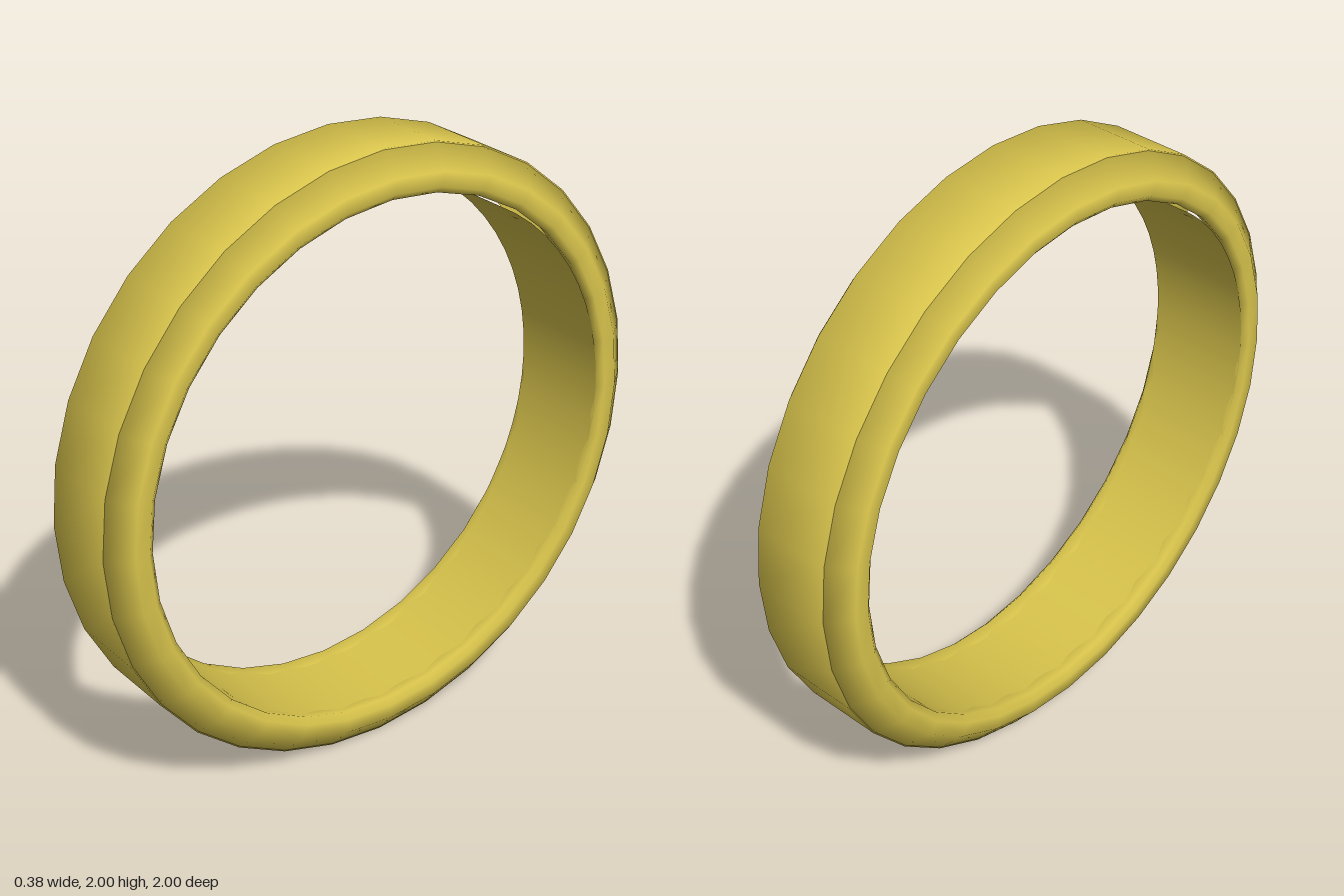
import * as THREE from 'three';

const gold = new THREE.MeshStandardMaterial({ color: 0xd8c44c });

// Revolve a [radius, offset along axis] profile; side +1 / -1 points the offset to +x / -x
function ringPart(name, profile, segments, side = 1) {
  const points = profile.map(([r, a]) => new THREE.Vector2(r, a));
  const geometry = new THREE.LatheGeometry(points, segments);
  geometry.rotateZ(-side * Math.PI / 2);
  const mesh = new THREE.Mesh(geometry, gold);
  mesh.name = name;
  mesh.position.y = 1;
  return mesh;
}

export function createModel() {
  const ring = new THREE.Group();
  ring.name = 'ring';

  // Wide outer band, softly shaded across its width
  ring.add(ringPart('outerBand', [[0.9, -0.13], [1, -0.13], [1, 0.13], [0.9, 0.13]], 32));

  // Rounded edge bead on each side
  const bead = [[0.9, 0.128], [0.998, 0.128], [0.925, 0.19], [0.878, 0.19], [0.857, 0.172], [0.866, 0.13]];
  ring.add(ringPart('leftEdgeBead', bead, 32, 1));
  ring.add(ringPart('rightEdgeBead', bead, 32, -1));

  // Smooth inner lining, facing the finger hole and set slightly low
  const lining = ringPart('innerLining', [[0.854, 0.175], [0.854, -0.175]], 64);
  lining.position.y = 0.991;
  ring.add(lining);

  return ring;
}
